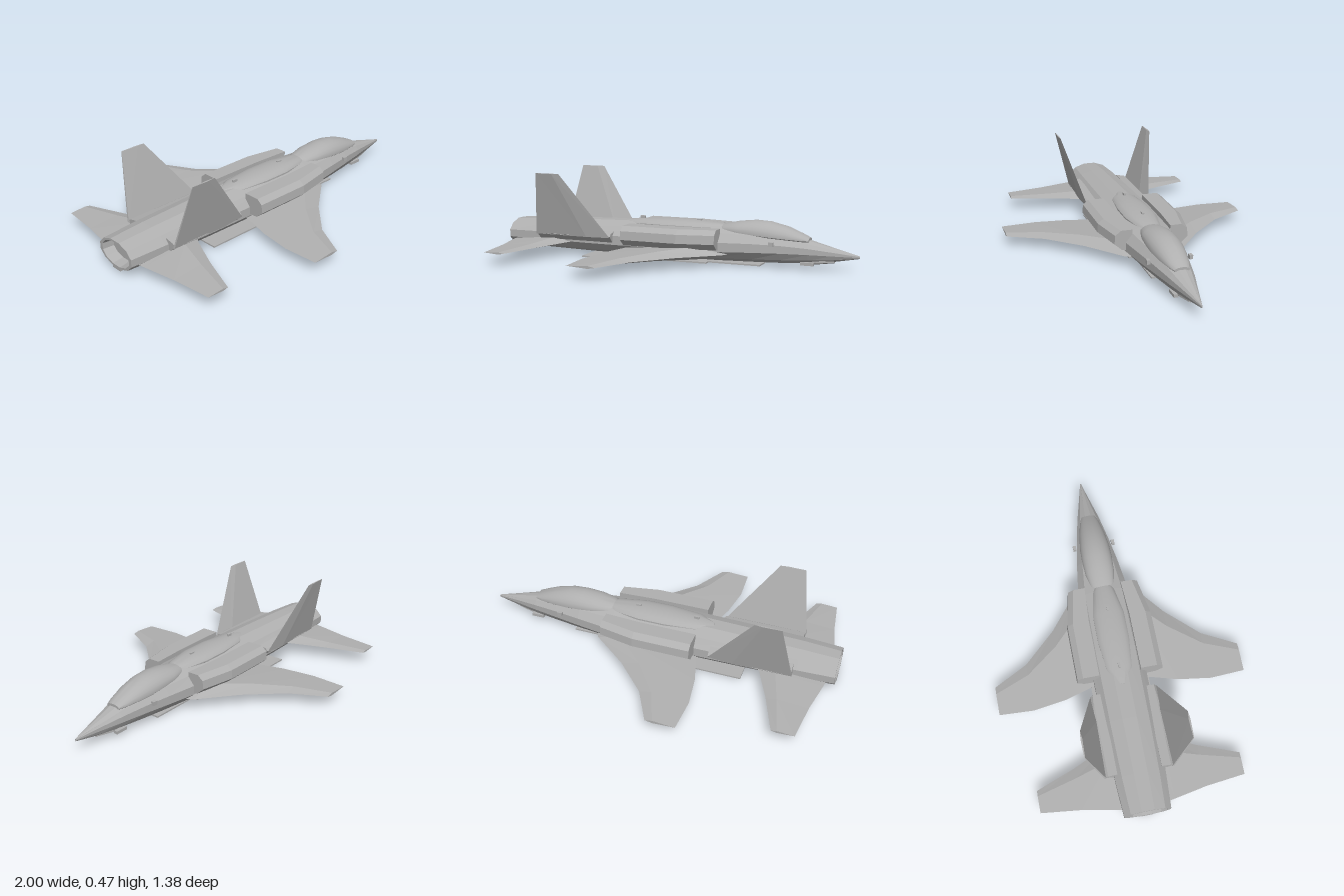
import * as THREE from 'three';
import { mergeVertices, toCreasedNormals } from 'three/addons/utils/BufferGeometryUtils.js';

// Skin a list of equal-length rings of [x, y, z], capped at both ends, faces outward
function loft(rings, crease = 0) {
  const n = rings[0].length, tris = [];
  for (let i = 0; i < rings.length - 1; i++)
    for (let j = 0; j < n; j++) {
      const k = (j + 1) % n, a = rings[i][j], b = rings[i][k], c = rings[i + 1][k], d = rings[i + 1][j];
      tris.push([a, b, c], [a, c, d]);
    }
  const first = rings[0], last = rings[rings.length - 1];
  for (let j = 1; j < n - 1; j++) {
    tris.push([first[0], first[j + 1], first[j]], [last[0], last[j], last[j + 1]]);
  }
  let volume = 0;
  for (const [a, b, c] of tris) {
    volume += a[0] * (b[1] * c[2] - b[2] * c[1]) - a[1] * (b[0] * c[2] - b[2] * c[0])
      + a[2] * (b[0] * c[1] - b[1] * c[0]);
  }
  if (volume < 0) tris.forEach((t) => t.reverse());
  const geo = new THREE.BufferGeometry();
  geo.setAttribute('position', new THREE.Float32BufferAttribute(tris.flat(2), 3));
  if (crease) return toCreasedNormals(mergeVertices(geo, 1e-5), crease);
  geo.computeVertexNormals();
  return geo;
}

// Rounded cross-section at x: half width, bottom, widest height and top
function oval([x, w, bottom, mid, top], sides) {
  return Array.from({ length: sides }, (_, i) => {
    const a = ((i + 0.5) / sides) * Math.PI * 2, s = Math.sin(a);
    return [x, mid + s * (s > 0 ? top - mid : mid - bottom), Math.cos(a) * w];
  });
}

// Thin aerofoil section: leading edge, upper ridge, trailing edge, lower ridge
function foil([z, lead, trail, y, up, down]) {
  const ridge = lead + (trail - lead) * 0.25;
  return [[lead, y, z], [ridge, y + up, z], [trail, y, z], [ridge, y - down, z]];
}

export function createModel() {
  const group = new THREE.Group();
  const grey = new THREE.MeshStandardMaterial({ color: 0xb0b0b0 });
  grey.name = 'airframe grey';
  const add = (name, geo) => {
    const mesh = new THREE.Mesh(geo, grey);
    mesh.name = name;
    group.add(mesh);
    return mesh;
  };
  const box = (name, x, y, z, lx, ly, lz) =>
    add(name, new THREE.BoxGeometry(lx, ly, lz)).position.set(x, y, z);

  // Fuselage, ending in a recessed nozzle
  add('fuselage', loft([
    [-0.94, 0.1, 0.045, 0.1, 0.16], [-1, 0.11, 0.035, 0.1, 0.168],
    [-1, 0.13, 0.025, 0.1, 0.178], [-0.8, 0.142, 0.018, 0.1, 0.19],
    [-0.5, 0.15, 0.012, 0.1, 0.2], [-0.1, 0.155, 0.01, 0.1, 0.21],
    [0.25, 0.15, 0.012, 0.1, 0.205], [0.45, 0.122, 0.016, 0.105, 0.195],
    [0.6, 0.095, 0.02, 0.105, 0.178], [0.74, 0.067, 0.028, 0.1, 0.15],
    [0.86, 0.037, 0.042, 0.09, 0.118], [1, 0.003, 0.068, 0.075, 0.082],
  ].map((s) => oval(s, 12))));

  // Canopy and the long spine behind it
  add('canopy', loft([
    [0.23, 0.03, 0.16, 0.175, 0.2], [0.28, 0.065, 0.155, 0.18, 0.213],
    [0.36, 0.082, 0.15, 0.178, 0.23], [0.45, 0.087, 0.15, 0.172, 0.24],
    [0.53, 0.085, 0.145, 0.165, 0.236], [0.62, 0.073, 0.14, 0.158, 0.215],
    [0.7, 0.055, 0.135, 0.151, 0.182], [0.74, 0.04, 0.135, 0.148, 0.162],
  ].map((s) => oval(s, 24)), 0.6));
  add('spine', loft([
    [-0.31, 0.02, 0.17, 0.19, 0.204], [-0.22, 0.07, 0.17, 0.19, 0.214],
    [-0.05, 0.088, 0.17, 0.19, 0.223], [0.1, 0.088, 0.17, 0.19, 0.223],
    [0.25, 0.06, 0.17, 0.188, 0.213], [0.32, 0.03, 0.16, 0.18, 0.2],
  ].map((s) => oval(s, 20)), 0.6));

  for (const side of [1, -1]) {
    const label = side > 0 ? 'left' : 'right';
    const mirrored = (rings) => rings.map((r) => r.map(([x, y, z]) => [x, y, z * side]));

    // Wing: z, leading x, trailing x, height, thickness above and below
    add(label + 'Wing', loft(mirrored([
      [0.1, 0.34, -0.25, 0.066, 0.04, 0.034], [0.16, 0.31, -0.26, 0.066, 0.038, 0.032],
      [0.32, 0.11, -0.305, 0.065, 0.026, 0.022], [0.5, -0.06, -0.33, 0.063, 0.015, 0.013],
      [0.69, -0.16, -0.32, 0.062, 0.008, 0.007],
    ].map(foil))));

    // Tailplane
    add(label + 'Tailplane', loft(mirrored([
      [0.1, -0.57, -0.96, 0.075, 0.026, 0.024], [0.16, -0.61, -0.95, 0.075, 0.023, 0.021],
      [0.34, -0.69, -0.915, 0.07, 0.013, 0.012], [0.555, -0.77, -0.89, 0.066, 0.006, 0.006],
    ].map(foil))));

    // Outward-canted fin
    const finRing = (y, z, front, back, t) => [
      [front, y, z], [front - (front - back) * 0.3, y, z + t], [back, y, z + t * 0.4],
      [back, y, z - t * 0.4], [front - (front - back) * 0.3, y, z - t]];
    add(label + 'Fin', loft(mirrored([
      finRing(0.12, 0.184, -0.33, -0.785, 0.013), finRing(0.47, 0.276, -0.59, -0.73, 0.005)])));
    // Fairing under the fin root
    add(label + 'FinFairing', loft(mirrored([
      [-0.78, 0.012], [-0.6, 0.02], [-0.33, 0.004]].map(([x, t]) =>
      [[x, 0.09, 0.12], [x, 0.09, 0.15], [x, 0.125, 0.178 + t], [x, 0.14, 0.17], [x, 0.15, 0.12]]))));

    // Angular intake duct along the flank
    const duct = [[0.197, 0.115], [0.197, 0.205], [0.172, 0.236], [0.125, 0.24], [0.09, 0.2], [0.085, 0.115]];
    const ductRing = (x, shift) => duct.map(([y, z], i) => [x, y, z - (i && i < 5 ? shift : shift * 0.3)]);
    add(label + 'Intake', loft(mirrored([
      ductRing(-0.24, 0), ductRing(0.08, 0), ductRing(0.28, 0.038)])));

    // Small sensors
    box(label + 'NoseSensor', 0.56, 0.132, side * 0.112, 0.026, 0.022, 0.018);
    box(label + 'ChinPod', 0.735, 0.03, side * 0.04, 0.07, 0.016, 0.022);
  }

  // Stepped belly plates
  box('rearBellyPlate', -0.305, 0.004, 0, 0.41, 0.008, 0.33);
  box('middleBellyPlate', 0.05, 0.006, 0, 0.3, 0.008, 0.2);
  box('frontBellyPlate', 0.345, 0.008, 0, 0.29, 0.008, 0.14);

  // Chin fairing, tail hook housing and spine aerials
  add('chinFairing', loft([
    [0.69, 0.03, 0.025, 0.04, 0.06], [0.78, 0.035, 0.025, 0.04, 0.06], [0.87, 0.015, 0.037, 0.045, 0.06],
  ].map((s) => oval(s, 8))));
  box('tailHookHousing', -0.94, 0.025, 0, 0.12, 0.02, 0.06);
  for (const x of [-0.21, 0.125]) box('spineAerial', x, 0.221, 0, 0.028, 0.014, 0.012);

  return group;
}
